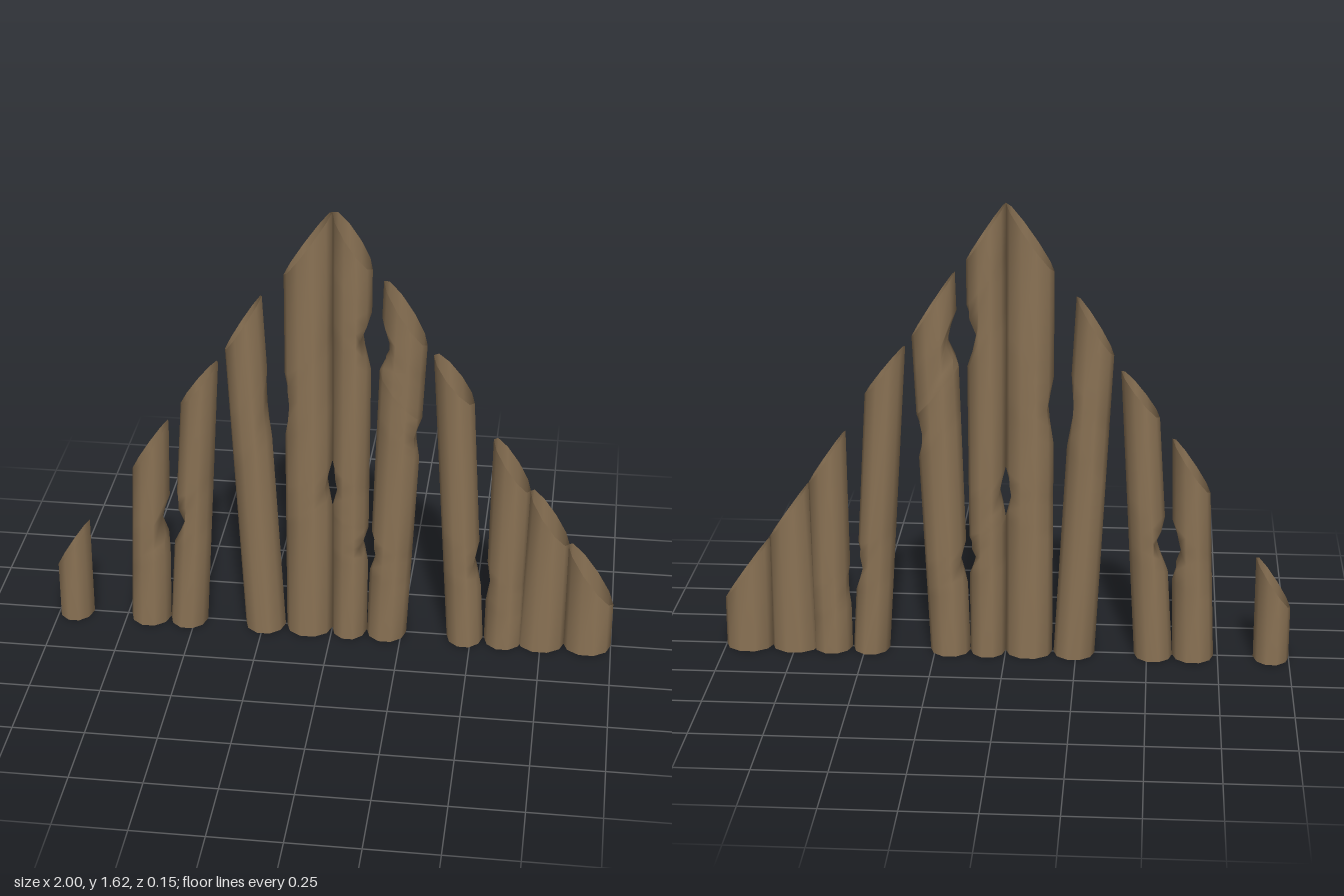
import * as THREE from 'three';

const SIDES = 10;
const DEPTH = 0.078;

// Logs from right to left: ground x of both edges, top x of both edges, top y of both edges
const LOGS = [
  [-1, -0.875, -1, -0.875, 0.19, 0.375],
  [-0.735, -0.59, -0.71, -0.575, 0.61, 0.805],
  [-0.59, -0.455, -0.53, -0.395, 0.88, 1.045],
  [-0.315, -0.17, -0.37, -0.24, 1.1, 1.305],
  [-0.165, 0, -0.165, 0, 1.39, 1.625],
  [0, 0.125, 0, 0.135, 1.625, 1.425],
  [0.125, 0.267, 0.173, 0.323, 1.385, 1.155],
  [0.413, 0.543, 0.345, 0.488, 1.12, 0.945],
  [0.547, 0.685, 0.557, 0.692, 0.81, 0.615],
  [0.665, 0.835, 0.69, 0.835, 0.615, 0.41],
  [0.83, 1, 0.83, 1, 0.41, 0.175],
];

// Worn hollows by log index: edge (-1 low x, 1 high x), height, depth, half length
const HOLLOWS = {
  1: [[1, 0.4, 0.035, 0.11]],
  2: [[-1, 0.42, 0.042, 0.1]],
  3: [[1, 0.9, 0.016, 0.13]],
  4: [[-1, 0.9, 0.022, 0.12], [1, 0.6, 0.023, 0.09]],
  5: [[-1, 0.6, 0.023, 0.09], [1, 0.36, 0.028, 0.07], [1, 1.16, 0.037, 0.11]],
  6: [[-1, 0.335, 0.024, 0.08], [-1, 1.15, 0.04, 0.1], [1, 0.8, 0.023, 0.08]],
  7: [[1, 0.31, 0.024, 0.09]],
  8: [[-1, 0.24, 0.012, 0.08]],
};

const { lerp, clamp } = THREE.MathUtils;

// Open, hollow tube with a slanted top, pressed in at its hollows
function logGeometry([baseL, baseR, topL, topR, heightL, heightR], hollows) {
  // Height fractions: both ends plus five levels through each hollow
  const levels = [0, 1];
  for (const [side, y, , half] of hollows) {
    for (let k = -2; k <= 2; k++) {
      levels.push((y + (half * k) / 2) / (side < 0 ? heightL : heightR));
    }
  }
  levels.sort((a, b) => a - b);

  // How far an edge is worn in at height y
  const wear = (edge, y) => hollows.reduce((sum, [side, centre, depth, half]) => {
    const d = Math.abs(y - centre) / half;
    return side === edge && d < 1 ? sum + (depth * (1 + Math.cos(Math.PI * d))) / 2 : sum;
  }, 0);

  const positions = [];
  const indices = [];
  levels.forEach((t, row) => {
    for (let i = 0; i < SIDES; i++) {
      const angle = (i / SIDES) * Math.PI * 2;
      const across = (Math.cos(angle) + 1) / 2;
      const y = t * lerp(heightL, heightR, across);
      const left = lerp(baseL, topL, y / heightL);
      const right = lerp(baseR, topR, y / heightR);
      const x = clamp(lerp(left, right, across), left + wear(-1, y), right - wear(1, y));
      positions.push(x, y, Math.sin(angle) * DEPTH);

      if (row < levels.length - 1) {
        const a = row * SIDES + i;
        const b = row * SIDES + ((i + 1) % SIDES);
        indices.push(a, a + SIDES, b, b, a + SIDES, b + SIDES);
      }
    }
  });
  const geometry = new THREE.BufferGeometry();
  geometry.setAttribute('position', new THREE.Float32BufferAttribute(positions, 3));
  geometry.setIndex(indices);
  geometry.computeVertexNormals();
  return geometry;
}

export function createModel() {
  const wood = new THREE.MeshStandardMaterial({ color: 0x8b7355, side: THREE.DoubleSide });
  wood.name = 'weathered wood';

  const wall = new THREE.Group();
  wall.name = 'logGableWall';
  LOGS.forEach((log, i) => {
    const mesh = new THREE.Mesh(logGeometry(log, HOLLOWS[i] ?? []), wood);
    mesh.name = `log${i + 1}`;
    wall.add(mesh);
  });
  return wall;
}
